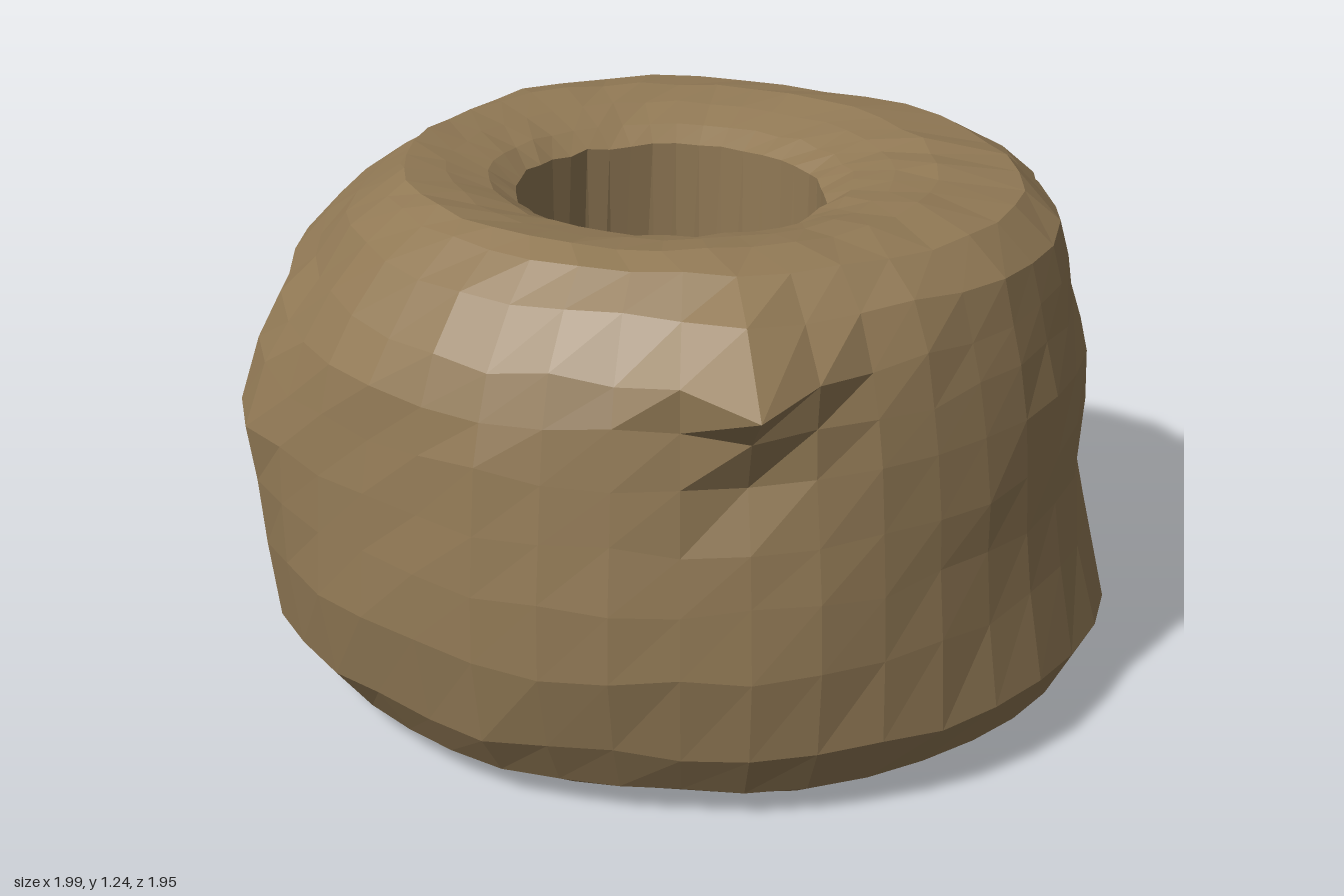
import * as THREE from 'three';

const SEG = 40;
const TURN = 0.045; // lines one section up with the front knob

// Widest outline seen from above, as x, z pairs
const OUTLINE = [
  [1, 0], [0.97, 0.2], [0.9, 0.4], [0.78, 0.58], [0.57, 0.78], [0.42, 0.86], [0.28, 0.9], [0.13, 0.94],
  [-0.03, 0.96], [-0.22, 0.95], [-0.42, 0.88], [-0.7, 0.73], [-0.87, 0.57], [-0.95, 0.42], [-0.96, 0.2],
  [-0.97, -0.17], [-0.92, -0.4], [-0.78, -0.73], [-0.6, -0.87], [-0.42, -0.94], [-0.25, -0.97],
  [-0.05, -0.96], [0.1, -0.93], [0.48, -0.86], [0.67, -0.7], [0.8, -0.55], [0.9, -0.38], [0.97, -0.2],
];
const POLAR = OUTLINE.map(([x, z]) => [(Math.atan2(z, x) + Math.PI * 2) % (Math.PI * 2), Math.hypot(x, z)]);
POLAR.push([Math.PI * 2, 1]);

// Outer wall: height, then share of the outline towards +x, +z, -x, -z
const WALL = [
  [0.03, 0.88, 0.82, 0.77, 0.8], [0.08, 0.94, 0.9, 0.87, 0.92], [0.2, 1, 0.97, 0.96, 0.95],
  [0.4, 0.95, 1.01, 0.99, 0.95], [0.56, 0.93, 1, 0.98, 0.95], [0.69, 0.93, 0.98, 0.98, 1],
  [0.83, 0.92, 0.96, 1, 0.98], [0.94, 0.89, 0.94, 1, 0.92], [1.04, 0.87, 0.9, 0.92, 0.87],
  [1.13, 0.85, 0.81, 0.8, 0.81], [1.2, 0.76, 0.72, 0.68, 0.74],
];
// Faces around the hole: radius and height, below and above
const BOTTOM = [[0.355, 0.07], [0.42, 0.04], [0.52, 0.025], [0.64, 0.015]];
const TOP = [[0.61, 1.22], [0.51, 1.205], [0.42, 1.18], [0.355, 1.145]];

// Local knobs and dents: x, z, height, angular width, vertical width, push
const BUMPS = [
  // front knob with the dent below it
  [0.43, 0.95, 1.04, 0.14, 0.09, 0.19], [0.43, 0.85, 0.87, 0.13, 0.07, -0.05],
  // right side knob and the side bulge with its sloping shoulder
  [-1, -0.17, 0.93, 0.22, 0.09, 0.03], [-0.9, 0.5, 0.67, 0.25, 0.09, 0.04],
  [-0.9, 0.5, 1, 0.35, 0.16, -0.1], [-0.93, 0.4, 0.42, 0.25, 0.1, -0.03],
  // back corner and the ledge running round the back
  [0.67, -0.7, 1, 0.2, 0.12, 0.11], [0.67, -0.7, 0.56, 0.5, 0.1, -0.06],
  [-0.1, -0.96, 0.75, 0.3, 0.08, 0.02], [-0.7, -0.75, 0.4, 0.5, 0.17, -0.07],
  [-0.7, -0.75, 0.68, 0.4, 0.08, 0.015],
];

function outlineRadius(a) {
  const k = Math.max(1, POLAR.findIndex((p) => p[0] >= a));
  const [a0, r0] = POLAR[k - 1], [a1, r1] = POLAR[k];
  return THREE.MathUtils.lerp(r0, r1, (a - a0) / (a1 - a0));
}

function seeded(seed) {
  return () => {
    seed = (seed * 16807) % 2147483647;
    return seed / 2147483647 - 0.5;
  };
}

// One closed cross-section of the ring at angle a
function section(a, rand) {
  const c = Math.cos(a), s = Math.sin(a);
  const hole = ([r, y]) => {
    const rr = r + rand() * 0.012;
    const tilt = y > 0.6 ? 0.015 * (s - 0.3 * c) : 0.008 * c;
    return [c * rr - 0.045, y + tilt + rand() * 0.01, s * rr + 0.01];
  };
  const wall = ([y, px, pz, nx, nz]) => {
    const share = c * c * (c > 0 ? px : nx) + s * s * (s > 0 ? pz : nz);
    let r = outlineRadius(a) * share + rand() * 0.01;
    for (const [bx, bz, by, wa, wy, push] of BUMPS) {
      let d = a - Math.atan2(bz, bx);
      d = Math.atan2(Math.sin(d), Math.cos(d));
      r += push * Math.exp(-((d / wa) ** 2) - ((y - by) / wy) ** 2);
    }
    const yy = y + (y > 0.1 && y < 1.15 ? rand() * 0.025 : rand() * 0.01);
    return [c * r, yy + (y > 1.1 ? 0.015 * s : 0), s * r];
  };
  return [...BOTTOM.map(hole), ...WALL.map(wall), ...TOP.map(hole)];
}

export function createModel() {
  const rand = seeded(731);
  const rings = Array.from({ length: SEG }, (_, i) => section((i / SEG) * Math.PI * 2 + TURN, rand));
  const n = rings[0].length;

  // Skin the cross-sections into one faceted ring, including the wall of the hole
  const pos = [];
  for (let i = 0; i < SEG; i++) {
    for (let j = 0; j < n; j++) {
      const a = rings[i][j], b = rings[i][(j + 1) % n];
      const d = rings[(i + 1) % SEG][j], e = rings[(i + 1) % SEG][(j + 1) % n];
      pos.push(...a, ...b, ...d, ...b, ...e, ...d);
    }
  }
  const geo = new THREE.BufferGeometry();
  geo.setAttribute('position', new THREE.Float32BufferAttribute(pos, 3));
  geo.computeBoundingBox();
  geo.translate(0, -geo.boundingBox.min.y, 0);
  geo.computeVertexNormals();

  const clay = new THREE.MeshStandardMaterial({ color: 0x917955, flatShading: true });
  clay.name = 'brown clay';
  const bead = new THREE.Mesh(geo, clay);
  bead.name = 'bead';
  const group = new THREE.Group();
  group.name = 'clayBead';
  group.add(bead);
  return group;
}
